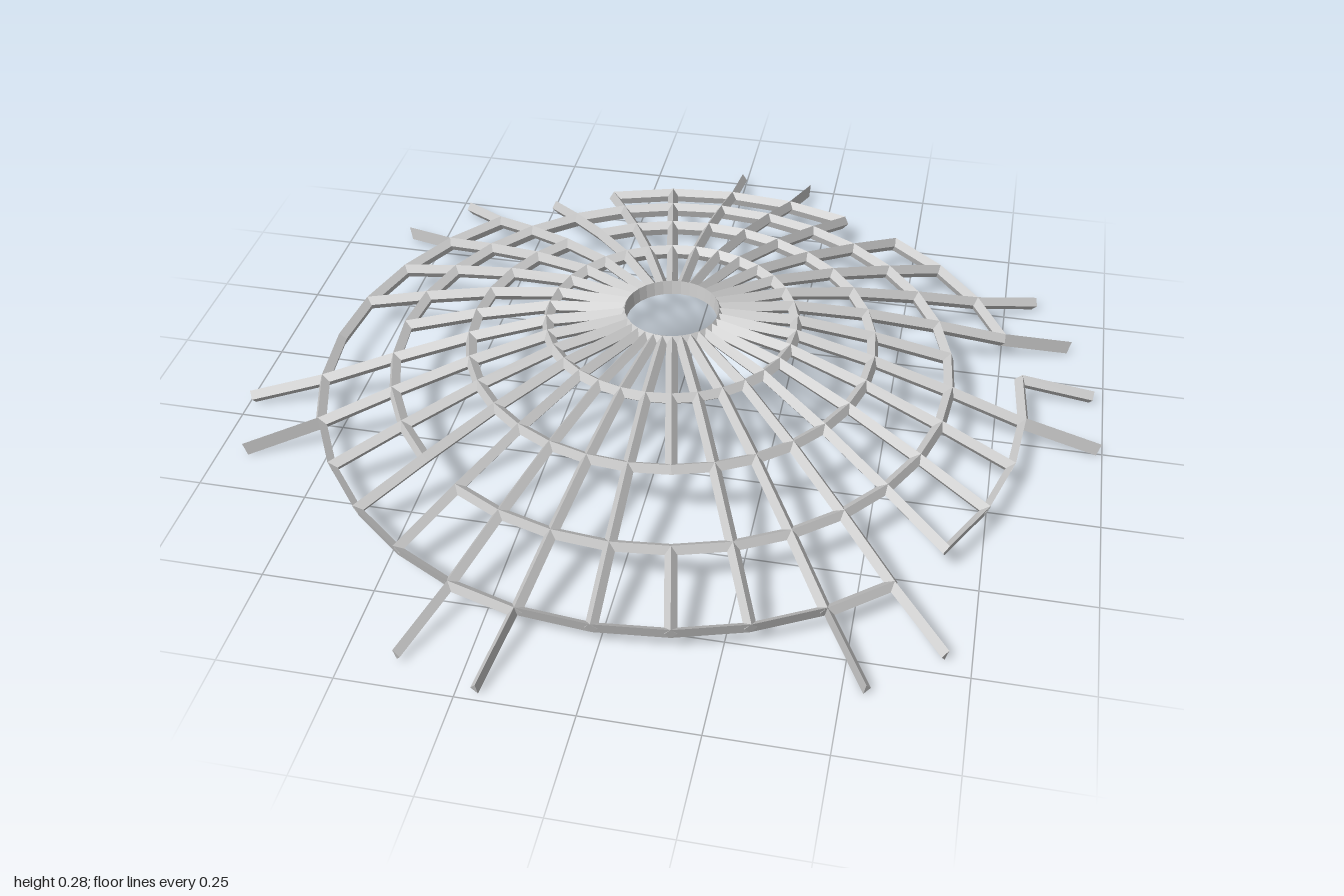
import * as THREE from 'three';

const RIBS = 32;
const CX = -0.01, CZ = 0.005;
// Dome profile at the bar centre lines: [radius, height]
const LEVELS = [[0.107, 0.262], [0.287, 0.242], [0.467, 0.194], [0.648, 0.133], [0.823, 0.068], [1.001, 0.018]];
const HALF_H = 0.0175, HALF_W = 0.0135;

// Outermost bays with two free prongs, each named by its first rib
const PRONG_BAYS = new Set([0, 5, 7, 12, 17, 22, 27]);
// Missing pieces, written as "level:rib"
const RIB_GAPS = new Set(['2:15', '3:7', '3:24']);
const RING_GAPS = new Set(['2:28', '3:19', '4:2', '4:6', '4:11', '4:28', '4:29']);

const material = new THREE.MeshStandardMaterial({ color: 0xcccccc, flatShading: true });

// Crossing of a rib and a level: position, dome normal, and the directions along rib and ring
function node(level, k) {
  const a = (k / RIBS) * Math.PI * 2, s = Math.sin(a), c = Math.cos(a);
  const [r, y] = LEVELS[level];
  const [r0, y0] = LEVELS[Math.max(level - 1, 0)];
  const [r1, y1] = LEVELS[Math.min(level + 1, LEVELS.length - 1)];
  const dr = r1 - r0, dy = y1 - y0;
  return {
    pos: new THREE.Vector3(CX + r * s, y, CZ - r * c),
    normal: new THREE.Vector3(-dy * s, dr, dy * c).normalize(),
    outward: new THREE.Vector3(dr * s, dy, -dr * c).normalize(),
    around: new THREE.Vector3(c, 0, s),
  };
}

// Diamond-section bar between two nodes; a width of 0 leaves that side flat
function bar(name, from, to, sideOf, wPos, wNeg) {
  const loop = (n) => [
    n.pos.clone().addScaledVector(sideOf(n), wPos),
    n.pos.clone().addScaledVector(n.normal, HALF_H),
    n.pos.clone().addScaledVector(sideOf(n), -wNeg),
    n.pos.clone().addScaledVector(n.normal, -HALF_H),
  ];
  const p = loop(from), q = loop(to), corners = [];
  for (let i = 0; i < 4; i++) {
    const j = (i + 1) % 4;
    corners.push(p[i], p[j], q[j], p[i], q[j], q[i]);
  }
  // End caps, split along the upright diagonal
  corners.push(p[1], p[0], p[3], p[1], p[3], p[2]);
  corners.push(q[1], q[3], q[0], q[1], q[2], q[3]);
  const geo = new THREE.BufferGeometry().setFromPoints(corners);
  geo.computeVertexNormals();
  const mesh = new THREE.Mesh(geo, material);
  mesh.name = name;
  return mesh;
}

export function createModel() {
  const model = new THREE.Group();
  model.name = 'brokenDomeFrame';
  const ribs = new THREE.Group();
  ribs.name = 'radialRibs';
  const rings = new THREE.Group();
  rings.name = 'crossRings';
  model.add(ribs, rings);
  const ribSide = (n) => n.around.clone().negate();
  const ringSide = (n) => n.outward;

  for (let k = 0; k < RIBS; k++) {
    // Full rib, one bar per bay
    for (let i = 0; i < 4; i++) {
      if (RIB_GAPS.has(`${i}:${k}`)) continue;
      ribs.add(bar('rib', node(i, k), node(i + 1, k), ribSide, HALF_W, HALF_W));
    }
    // Pair of half-width prongs facing each other
    if (PRONG_BAYS.has(k)) {
      ribs.add(bar('prong', node(4, k), node(5, k), ribSide, 0, HALF_W));
      ribs.add(bar('prong', node(4, k + 1), node(5, k + 1), ribSide, HALF_W, 0));
    }
    // Ring pieces to the next rib: flat inside the hub and around the open rim
    for (let i = 0; i < 5; i++) {
      if (RING_GAPS.has(`${i}:${k}`)) continue;
      const name = i === 0 ? 'hubRing' : i === 4 ? 'outerRing' : 'innerRing';
      const wOut = i === 4 && !PRONG_BAYS.has(k) ? 0 : HALF_W;
      const wIn = i === 0 ? 0 : HALF_W;
      rings.add(bar(name, node(i, k), node(i, k + 1), ringSide, wOut, wIn));
    }
  }
  return model;
}
